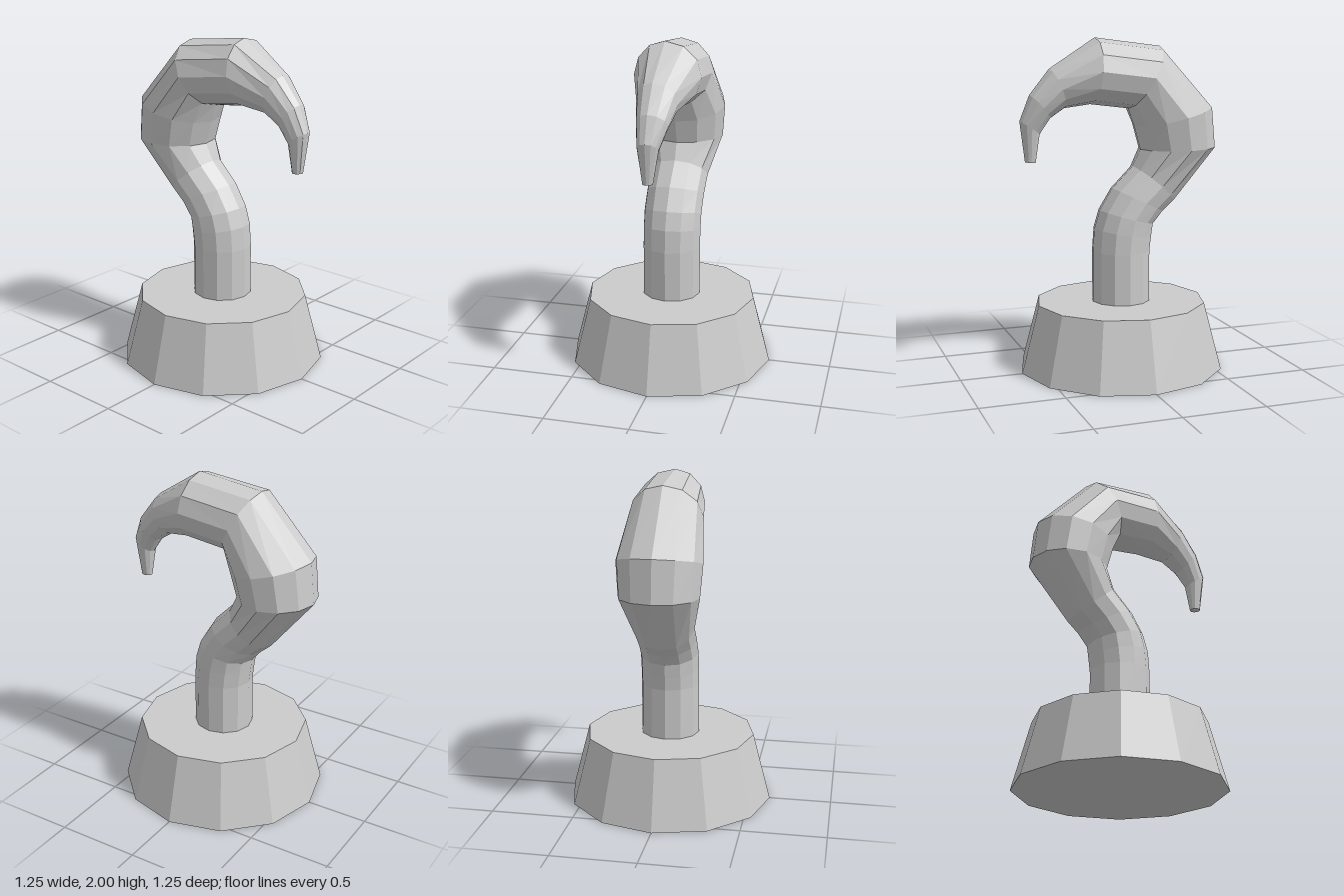
import * as THREE from 'three';

const SIDES = 12;

// Each ring: outer x, outer y, inner x, inner y, half width toward +z, half width toward -z
const RINGS = [
  [-0.18, 0.40, 0.175, 0.40, 0.178, 0.178],
  [-0.18, 0.72, 0.175, 0.72, 0.178, 0.178],
  [-0.19, 0.80, 0.165, 0.86, 0.178, 0.178],
  [-0.20, 0.88, 0.13, 0.97, 0.178, 0.178],
  [-0.26, 0.95, 0.05, 1.10, 0.178, 0.178],
  [-0.33, 1.01, -0.08, 1.23, 0.18, 0.18],
  [-0.60, 1.34, -0.13, 1.33, 0.235, 0.24],
  [-0.575, 1.59, -0.09, 1.47, 0.248, 0.258],
  [-0.25, 1.95, -0.05, 1.58, 0.22, 0.21],
  [0.16, 2.00, 0.19, 1.61, 0.178, 0.217],
  [0.44, 1.82, 0.35, 1.59, 0.105, 0.138],
  [0.56, 1.67, 0.44, 1.53, 0.08, 0.105],
  [0.62, 1.52, 0.50, 1.44, 0.06, 0.065],
  [0.59, 1.28, 0.525, 1.275, 0.03, 0.03],
];

// Skin the rings into a tube and close both ends
function loftGeometry(rings) {
  const positions = [];
  const index = [];
  for (const [ox, oy, ix, iy, front, back] of rings) {
    for (let j = 0; j < SIDES; j++) {
      const a = (j / SIDES) * Math.PI * 2;
      const c = Math.cos(a);
      const s = Math.sin(a);
      positions.push(
        (ox + ix) / 2 + ((ox - ix) / 2) * c,
        (oy + iy) / 2 + ((oy - iy) / 2) * c,
        s * (s > 0 ? front : back),
      );
    }
  }
  for (let i = 0; i < rings.length - 1; i++) {
    for (let j = 0; j < SIDES; j++) {
      const a = i * SIDES + j;
      const b = i * SIDES + ((j + 1) % SIDES);
      index.push(a, b, b + SIDES, a, b + SIDES, a + SIDES);
    }
  }
  const last = (rings.length - 1) * SIDES;
  for (let j = 1; j < SIDES - 1; j++) {
    index.push(0, j + 1, j);
    index.push(last, last + j, last + j + 1);
  }
  const geometry = new THREE.BufferGeometry();
  geometry.setAttribute('position', new THREE.Float32BufferAttribute(positions, 3));
  geometry.setIndex(index);
  geometry.computeVertexNormals();
  return geometry;
}

export function createModel() {
  const group = new THREE.Group();
  group.name = 'hook';
  const material = new THREE.MeshStandardMaterial({ color: 0xcccccc, flatShading: true });

  // Tapered twelve-sided base
  const base = new THREE.Mesh(new THREE.CylinderGeometry(0.517, 0.625, 0.41, SIDES), material);
  base.name = 'base';
  base.position.y = 0.205;
  group.add(base);

  // Stem that swells into the bend and tapers to the curved tip
  const claw = new THREE.Mesh(loftGeometry(RINGS), material);
  claw.name = 'curvedHook';
  group.add(claw);

  return group;
}
